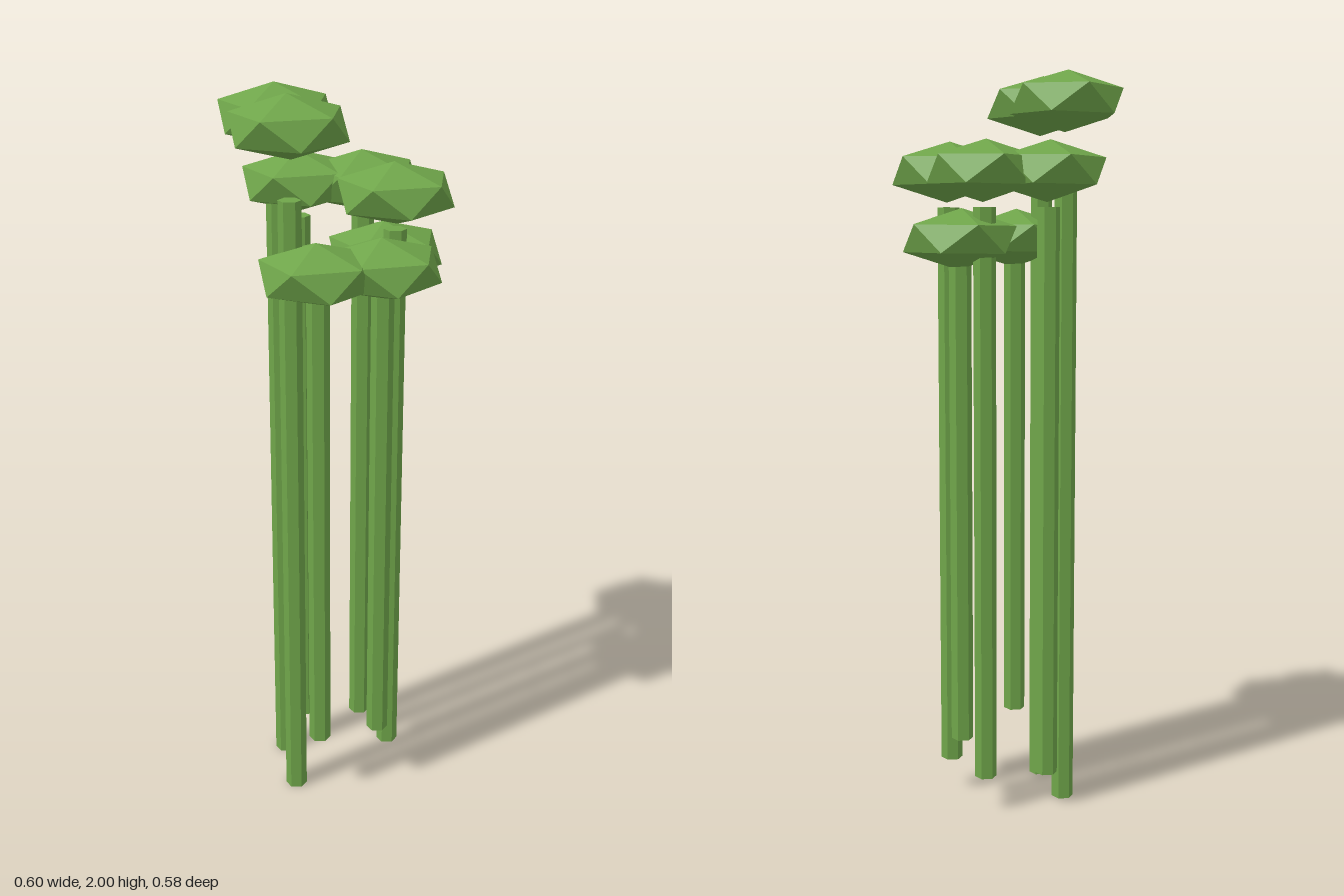
import * as THREE from 'three';

export function createModel() {
  const group = new THREE.Group();
  group.name = 'bambooCluster';
  const green = new THREE.MeshStandardMaterial({ color: 0x6fa54a, flatShading: true });
  green.name = 'leafGreen';

  // Flattened faceted leaf clump, turned so that a corner points up
  const clump = new THREE.IcosahedronGeometry(0.1655, 0);
  clump.rotateZ(-0.52);
  clump.scale(1, 0.487, 1);

  // Each stem: x, z, stem height, clump height
  const tall = [1.74, 1.92], medium = [1.55, 1.738], low = [1.365, 1.562];
  const stems = [
    [-0.155, 0.044, tall], [-0.096, -0.132, tall],
    [-0.02, -0.153, medium], [0.13, -0.074, medium], [0.122, 0.099, medium],
    [0.153, 0.004, low], [0.056, 0.149, low], [-0.114, 0.113, low],
  ];
  const middle = 0.87; // all stems share the same mid height

  stems.forEach(([x, z, [height, leafY]], i) => {
    const stem = new THREE.Mesh(new THREE.CylinderGeometry(0.03, 0.03, height, 6), green);
    stem.name = `stem${i + 1}`;
    stem.position.set(x, middle, z);
    const leaves = new THREE.Mesh(clump, green);
    leaves.name = `leafClump${i + 1}`;
    leaves.position.set(x, leafY, z);
    group.add(stem, leaves);
  });
  return group;
}
